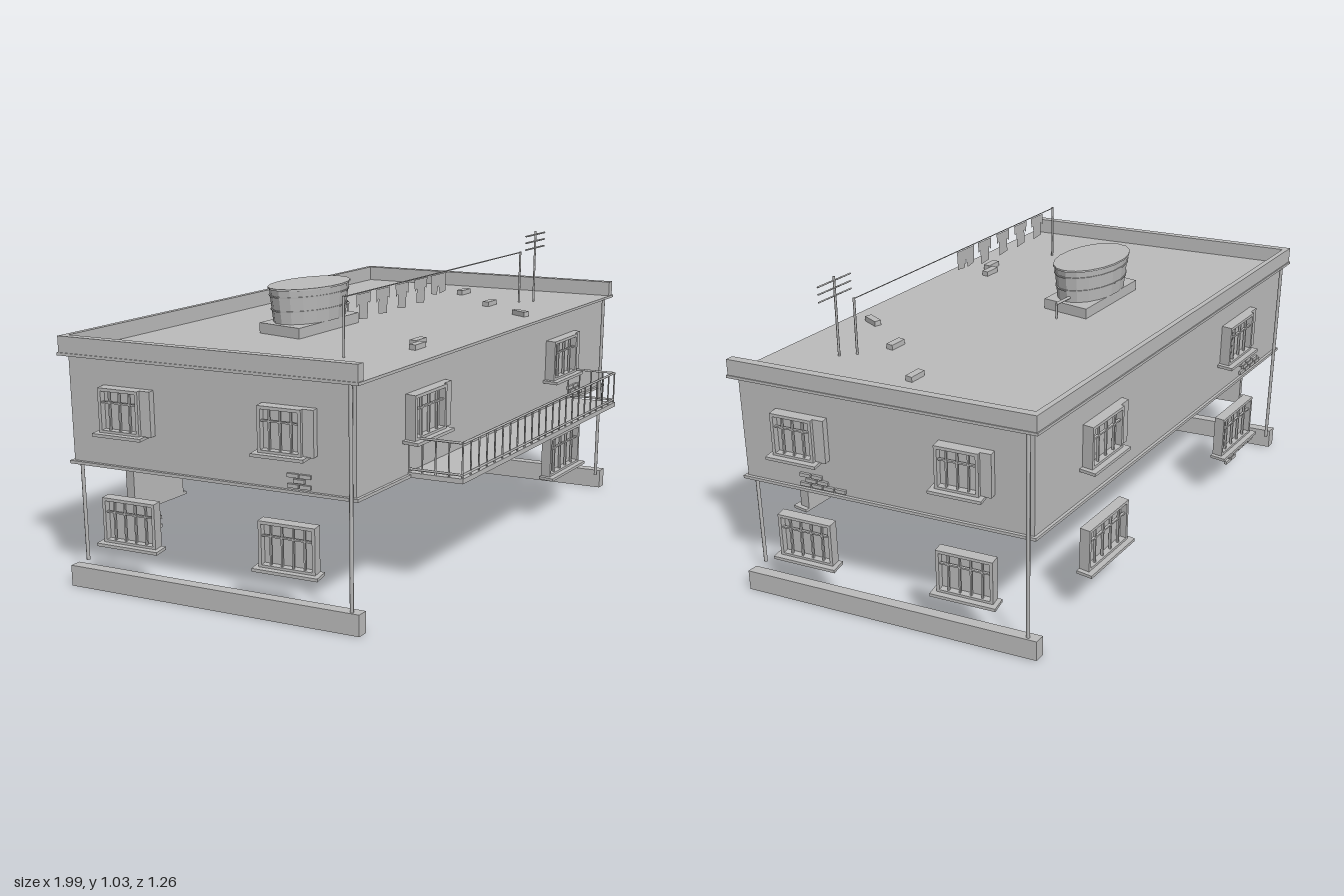
import * as THREE from 'three';

const concrete = new THREE.MeshStandardMaterial({ color: 0xbcbcbc });
concrete.name = 'concrete grey';
const cloth = new THREE.MeshStandardMaterial({ color: 0xb8b8b8, side: THREE.DoubleSide });
cloth.name = 'cloth grey';

// Skewed floor plan: u runs along the front, v runs along the sides
const C = [0, -0.063], U = [0.9925, -0.122], V = [0.343, 0.939];
const HU = 0.806, HV = 0.48;
const plan = (u, v) => [C[0] + u * U[0] + v * V[0], C[1] + u * U[1] + v * V[1]];

function add(parent, name, geometry, x = 0, y = 0, z = 0, material = concrete) {
  const mesh = new THREE.Mesh(geometry, material);
  mesh.name = name;
  mesh.position.set(x, y, z);
  parent.add(mesh);
  return mesh;
}

const box = (parent, name, w, h, d, x, y, z) => add(parent, name, new THREE.BoxGeometry(w, h, d), x, y, z);

// Slab with a skewed outline between two u, two v and two heights
function slab(parent, name, u0, u1, v0, v1, y0, y1) {
  const corners = [[u0, v1], [u1, v1], [u1, v0], [u0, v0]].map(([u, v]) => {
    const [x, z] = plan(u, v);
    return new THREE.Vector2(x, -z);
  });
  const g = new THREE.ExtrudeGeometry(new THREE.Shape(corners), { depth: y1 - y0, bevelEnabled: false });
  g.rotateX(-Math.PI / 2);
  return add(parent, name, g, 0, y0, 0);
}

// Thin round bar between two points
function rod(parent, name, a, b, r, sides = 6) {
  const p = new THREE.Vector3(...a), q = new THREE.Vector3(...b);
  const d = q.clone().sub(p);
  const m = add(parent, name, new THREE.CylinderGeometry(r, r, d.length(), sides));
  m.position.copy(p).add(q).multiplyScalar(0.5);
  m.quaternion.setFromUnitVectors(new THREE.Vector3(0, 1, 0), d.normalize());
  return m;
}

// Barred window on a wall; gridShare is the part of the width that is barred
function windowUnit(wall, name, x, y, w, h, gridShare, columns) {
  const g = new THREE.Group();
  g.name = name;
  g.position.set(x, y, 0);
  wall.add(g);
  box(g, 'pane', w, h, 0.014, 0, 0, 0.007);
  const gw = w * gridShare, gx = (gw - w) / 2, t = 0.01;
  if (gridShare < 1) box(g, 'sidePanel', w - gw, h, 0.024, gw / 2, 0, 0.012);
  for (const s of [-1, 1]) {
    box(g, 'frameSide', t, h, 0.036, gx + s * (gw - t) / 2, 0, 0.018);
    box(g, 'frameRail', gw, t, 0.036, gx, s * (h - t) / 2, 0.018);
  }
  for (let i = 1; i < columns; i++) {
    box(g, 'bar', 0.005, h - t, 0.008, gx - gw / 2 + gw * i / columns, 0, 0.026);
  }
  box(g, 'crossbar', gw - t, 0.005, 0.008, gx, h * 0.18, 0.026);
  box(g, 'sill', gw + 0.03, 0.01, 0.055, gx, -h / 2 - 0.003, 0.0275);
}

// Patch of exposed bricks in staggered rows
function brickPatch(wall, x, y, rows) {
  rows.forEach((count, r) => {
    for (let i = 0; i < count; i++) {
      box(wall, 'exposedBrick', 0.036, 0.012, 0.01, x + i * 0.04 + (r % 2) * 0.02, y + r * 0.016, 0.003);
    }
  });
}

export function createModel() {
  const model = new THREE.Group();
  model.name = 'house';

  // Upper storey, floor trim and roof ledge
  slab(model, 'upperStorey', -HU, HU, -HV, HV, 0.41, 0.765);
  slab(model, 'floorTrim', -HU - 0.01, HU + 0.01, -HV - 0.01, HV + 0.01, 0.41, 0.42);
  slab(model, 'roofLedge', -HU - 0.023, HU + 0.023, -HV - 0.022, HV + 0.022, 0.759, 0.768);

  // Parapet on three sides, open at the front
  const pu = HU + 0.02, pv = HV + 0.018;
  slab(model, 'parapetLeft', -pu, -pu + 0.026, -pv, pv, 0.767, 0.82);
  slab(model, 'parapetRight', pu - 0.026, pu, -pv, pv, 0.767, 0.82);
  slab(model, 'parapetBack', -pu + 0.026, pu - 0.026, -pv, -pv + 0.018, 0.767, 0.82);

  // Plinths under the two sides
  slab(model, 'plinthLeft', -pu - 0.005, -pu + 0.03, -pv, pv + 0.004, 0, 0.07);
  slab(model, 'plinthRight', pu - 0.03, pu + 0.005, -pv - 0.004, pv, 0, 0.07);

  // Drainpipes near the corners
  for (const [x, z] of [[-0.922, -0.44], [-0.652, 0.48], [0.652, -0.602], [0.918, 0.314]]) {
    rod(model, 'drainpipe', [x, 0.065, z], [x, 0.762, z], 0.006, 8);
  }

  // Walls hold windows; local z points outward
  const frontTurn = Math.atan2(-U[1], U[0]), sideTurn = Math.atan2(V[1], -V[0]);
  const walls = [
    { name: 'front', at: plan(0, HV), turn: frontTurn, x: 0.447, w: 0.22, lower: [1] },
    { name: 'back', at: plan(0, -HV), turn: frontTurn + Math.PI, x: 0.447, w: 0.22, lower: [-1, 1] },
    { name: 'right', at: plan(HU, 0), turn: sideTurn, x: 0.27, w: 0.175, lower: [-1, 1] },
    { name: 'left', at: plan(-HU, 0), turn: sideTurn + Math.PI, x: 0.27, w: 0.175, lower: [-1, 1] },
  ];
  const wallGroups = {};
  for (const { name, at, turn, x, w, lower } of walls) {
    const g = wallGroups[name] = new THREE.Group();
    g.name = name + 'Wall';
    g.position.set(at[0], 0, at[1]);
    g.rotation.y = turn;
    model.add(g);
    for (const s of [-1, 1]) windowUnit(g, 'upperWindow', s * x, 0.603, w, 0.143, 0.8, 4);
    for (const s of lower) windowUnit(g, 'lowerWindow', s * x, 0.248, w + 0.01, 0.148, 1, 5);
  }

  // Patches of exposed brick
  brickPatch(wallGroups.right, -0.27, 0.433, [4, 2, 2]);
  brickPatch(wallGroups.left, 0.28, 0.433, [2, 1, 2]);
  brickPatch(wallGroups.front, 0.53, 0.433, [3, 2, 2]);
  brickPatch(wallGroups.back, 0.52, 0.433, [4, 3, 2]);
  brickPatch(wallGroups.back, 0.46, 0.087, [2, 5, 3]);

  // Balcony with railing on three sides
  const b0 = -0.541, b1 = 0.528, bv = 0.655;
  slab(model, 'balconyFloor', b0, b1, HV, bv, 0.41, 0.426);
  const point = (u, v, y) => { const [x, z] = plan(u, v); return [x, y, z]; };
  const path = [[b0 + 0.005, HV], [b0 + 0.005, bv - 0.005], [b1 - 0.005, bv - 0.005], [b1 - 0.005, HV]];
  [4, 22, 4].forEach((count, i) => {
    const [u0, v0] = path[i], [u1, v1] = path[i + 1];
    for (const y of [0.436, 0.536]) rod(model, 'balconyRail', point(u0, v0, y), point(u1, v1, y), 0.004);
    for (let k = 0; k <= count; k++) {
      const u = u0 + (u1 - u0) * k / count, v = v0 + (v1 - v0) * k / count;
      rod(model, 'balconyBar', point(u, v, 0.424), point(u, v, 0.536), 0.003);
    }
  });

  // Water tank on its base
  const tank = new THREE.Group();
  tank.name = 'waterTank';
  tank.position.set(-0.213, 0, -0.118);
  model.add(tank);
  const base = box(tank, 'tankBase', 0.325, 0.036, 0.165, 0, 0.785, 0);
  base.rotation.y = frontTurn;
  const oval = (name, r1, r0, h, y) => {
    const g = new THREE.CylinderGeometry(r1, r0, h, 18).toNonIndexed();
    g.scale(1, 1, 0.59);
    g.computeVertexNormals();
    add(tank, name, g, 0, y, 0);
  };
  oval('tankBody', 0.162, 0.147, 0.117, 0.8615);
  oval('tankRim', 0.167, 0.167, 0.006, 0.918);
  oval('tankBand', 0.163, 0.162, 0.005, 0.892);
  oval('tankBand', 0.157, 0.156, 0.005, 0.845);
  rod(tank, 'tankOutlet', [0.13, 0.82, -0.02], [0.215, 0.82, -0.026], 0.005);
  rod(tank, 'tankOutlet', [0.212, 0.768, -0.026], [0.212, 0.82, -0.026], 0.004);

  // Clothesline
  const lineA = [-0.455, 0.953, 0.267], lineB = [0.63, 0.953, 0.13];
  rod(model, 'clothesline', lineA, lineB, 0.002, 4);
  for (const [x, y, z] of [lineA, lineB]) rod(model, 'clothesPole', [x, 0.765, z], [x, y + 0.003, z], 0.004);

  // Laundry: shirts with sleeves, and a pair of shorts at the end
  const shirt = [[-0.038, 0], [0.038, 0], [0.034, -0.035], [0.024, -0.03], [0.02, -0.082], [-0.026, -0.076], [-0.024, -0.03], [-0.036, -0.04]];
  const shorts = [[-0.048, 0], [0.048, 0], [0.044, -0.062], [0.008, -0.066], [0, -0.035], [-0.01, -0.068], [-0.046, -0.06]];
  [-0.352, -0.248, -0.142, -0.034, 0.072].forEach((x, i) => {
    const outline = (i === 4 ? shorts : shirt).map(([a, b]) => new THREE.Vector2(a, b));
    const m = add(model, 'laundry', new THREE.ShapeGeometry(new THREE.Shape(outline)), x, 0.949, 0.267 - (x + 0.455) * 0.1263, cloth);
    m.rotation.y = frontTurn;
  });

  // Roof aerial
  rod(model, 'aerialMast', [0.675, 0.765, 0.163], [0.675, 1.03, 0.163], 0.004);
  for (const y of [0.968, 0.993, 1.017]) {
    rod(model, 'aerialBar', [0.603, y, 0.172], [0.747, y, 0.154], 0.003, 4);
  }

  // Loose bricks on the roof
  for (const [x, z] of [[-0.16, 0.31], [-0.21, 0.35], [0.43, 0.28], [0.51, 0.085], [0.63, -0.13]]) {
    box(model, 'looseBrick', 0.06, 0.018, 0.024, x, 0.776, z).rotation.y = x === 0.43 ? 1.4 : frontTurn;
  }

  return model;
}
